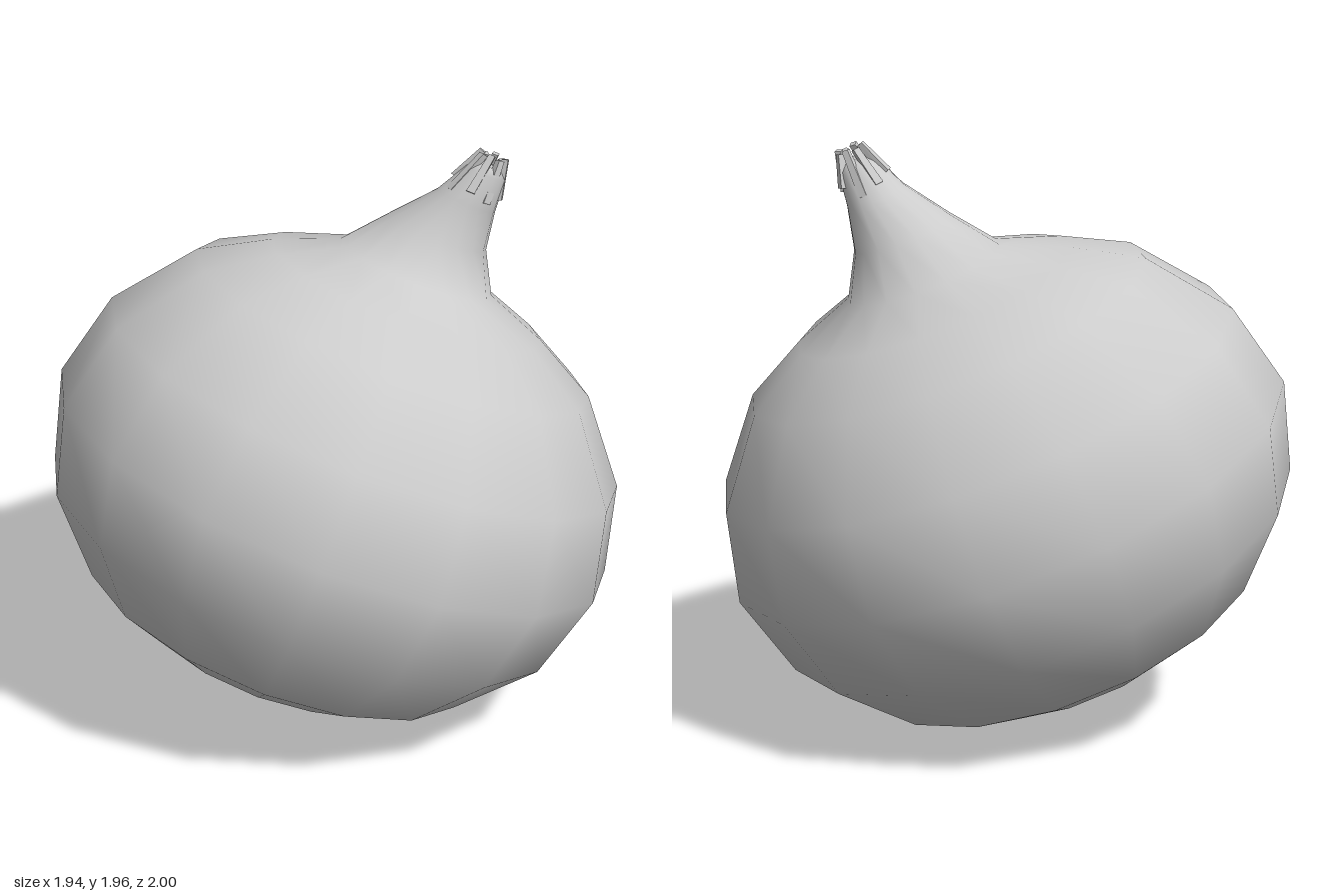
import * as THREE from 'three';
import { mergeVertices } from 'three/addons/utils/BufferGeometryUtils.js';

const SIDES = 16;

// Lean the neck gradually sideways and forwards above the shoulder.
function bendNeck(geometry) {
  const p = geometry.attributes.position;
  for (let i = 0; i < p.count; i++) {
    const s = THREE.MathUtils.smoothstep(p.getY(i), 0.78, 1.2);
    p.setX(i, p.getX(i) + 0.05 * s);
    p.setZ(i, p.getZ(i) + 0.125 * s);
  }
  return geometry;
}

// Turned form with seamless smooth normals.
function turned(profile) {
  let g = new THREE.LatheGeometry(profile.map(([r, h]) => new THREE.Vector2(r, h)), SIDES);
  g.deleteAttribute('uv');
  g.deleteAttribute('normal');
  g = mergeVertices(bendNeck(g), 1e-4);
  g.computeVertexNormals();
  return g;
}

export function createModel() {
  const model = new THREE.Group();
  model.name = 'onion';
  const material = new THREE.MeshStandardMaterial({ color: 0xcccccc, side: THREE.DoubleSide });

  // Everything is built upright around the bulb's centre, then tilted.
  const bulb = new THREE.Group();
  bulb.name = 'tiltedBulb';
  bulb.position.y = 0.82;
  bulb.rotation.z = -0.379;
  model.add(bulb);

  const add = (name, geometry, mat = material) => {
    const mesh = new THREE.Mesh(geometry, mat);
    mesh.name = name;
    bulb.add(mesh);
  };

  // Bulb skin running up into the neck
  add('bulbAndNeck', turned([
    [0.2, -0.765], [0.245, -0.755], [0.49, -0.677], [0.71, -0.562], [0.923, -0.305],
    [1, 0], [0.92, 0.3], [0.707, 0.56], [0.485, 0.682], [0.27, 0.767],
    [0.172, 0.91], [0.102, 1.05], [0.068, 1.16], [0.04, 1.185], [0, 1.185],
  ]));

  // Root plate under the bulb
  add('rootPlate', turned([
    [0, -0.82], [0.12, -0.816], [0.2, -0.8], [0.235, -0.75],
  ]));

  // Dry fibres around the tip of the neck
  const fibreMaterial = new THREE.MeshStandardMaterial({ color: 0xcccccc, flatShading: true });
  const up = new THREE.Vector3(0, 1, 0);
  for (let i = 0; i < 8; i++) {
    const a = (i / 8) * Math.PI * 2 + 0.2;
    const at = (r, h) => new THREE.Vector3(Math.sin(a) * r, h, Math.cos(a) * r);
    const foot = at(0.082, 1.07 + 0.02 * (i % 3));
    const tip = at(0.04, 1.215 + 0.008 * (i % 2));
    const axis = tip.clone().sub(foot);
    const g = new THREE.CylinderGeometry(0.015, 0.02, axis.length(), 4);
    g.rotateY(Math.PI / 4 + a);
    g.applyQuaternion(new THREE.Quaternion().setFromUnitVectors(up, axis.clone().normalize()));
    const mid = foot.add(tip).multiplyScalar(0.5);
    g.translate(mid.x, mid.y, mid.z);
    add('tipFibre' + (i + 1), bendNeck(g), fibreMaterial);
  }

  return model;
}
